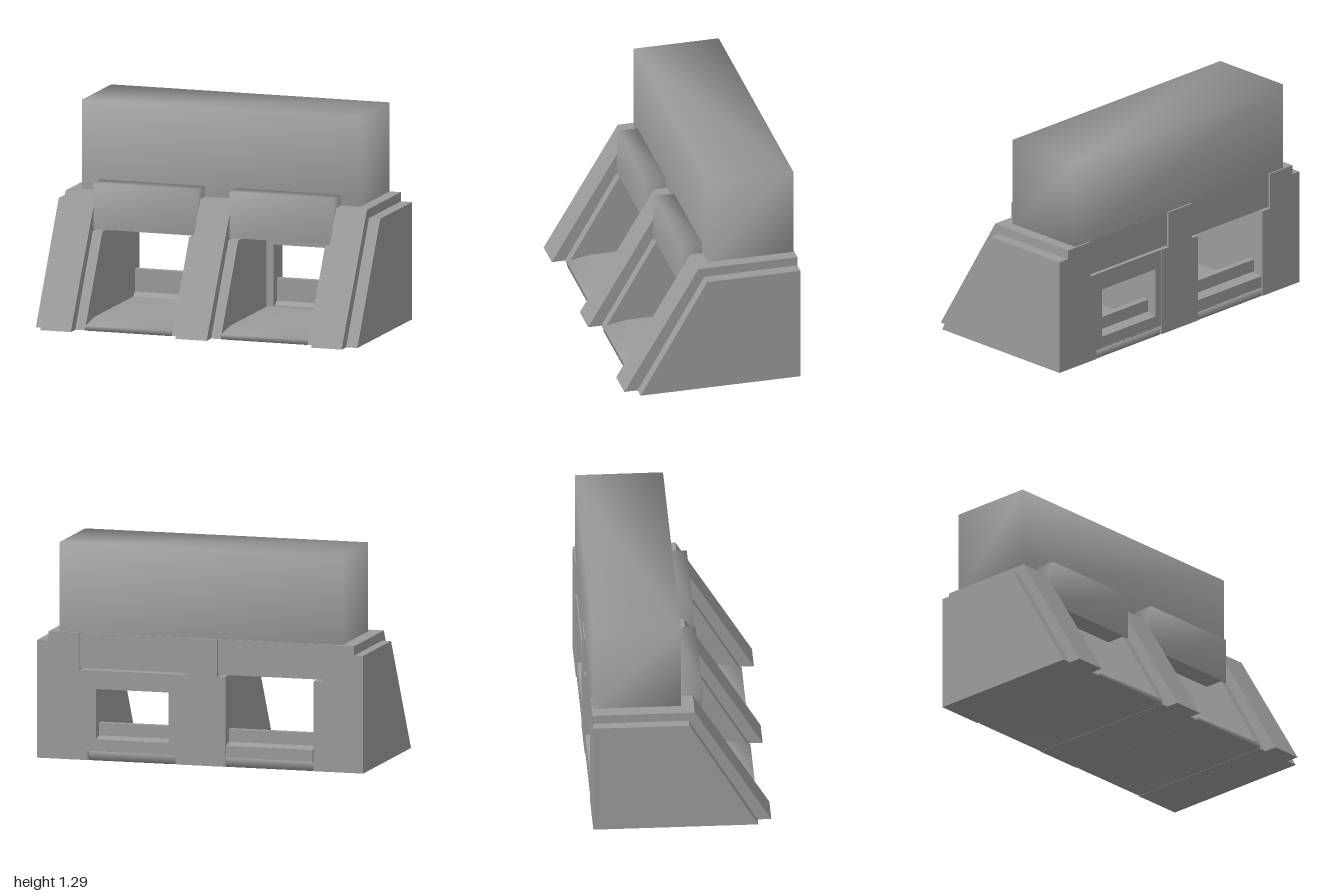
import * as THREE from 'three';
import { mergeVertices } from 'three/addons/utils/BufferGeometryUtils.js';

const grey = new THREE.MeshStandardMaterial({ color: 0x9b9b9b });

// Share corners so that shading runs smoothly over the block
function weld(geo) {
  geo.deleteAttribute('normal');
  geo.deleteAttribute('uv');
  const welded = mergeVertices(geo, 1e-4);
  welded.computeVertexNormals();
  return welded;
}

// Side profile given as [z, y] points, extruded from x0 to x1
function profileGeo(points, x0, x1) {
  const shape = new THREE.Shape(points.map(([z, y]) => new THREE.Vector2(z, y)));
  const geo = new THREE.ExtrudeGeometry(shape, { depth: x1 - x0, bevelEnabled: false });
  geo.rotateY(-Math.PI / 2);
  geo.translate(x1, 0, 0);
  return geo;
}

function boxGeo(x0, x1, y0, y1, z0, z1) {
  const geo = new THREE.BoxGeometry(x1 - x0, y1 - y0, z1 - z0);
  geo.translate((x0 + x1) / 2, (y0 + y1) / 2, (z0 + z1) / 2);
  return geo;
}

export function createModel() {
  const group = new THREE.Group();
  const add = (name, geo) => {
    const mesh = new THREE.Mesh(geo, grey);
    mesh.name = name;
    group.add(mesh);
  };

  // Softly shaded block with a flat underside
  const addSoftBlock = (name, x0, x1, y0, y1, z0, z1) => {
    const geo = boxGeo(x0, x1, y0, y1, z0, z1);
    const index = Array.from(geo.index.array);
    index.splice(18, 6); // the downward face
    geo.setIndex(index);
    add(name, weld(geo));
    const under = new THREE.PlaneGeometry(x1 - x0, z1 - z0);
    under.rotateX(Math.PI / 2);
    under.translate((x0 + x1) / 2, y0, (z0 + z1) / 2);
    add(name + 'Underside', under);
  };

  // Large block on top
  addSoftBlock('topBlock', -0.87, 0.863, 0.757, 1.288, -0.518, -0.002);

  // Three sloping piers
  const pier = [[-0.525, 0], [0.525, 0], [0.075, 0.755], [-0.525, 0.755]];
  for (const [x0, x1] of [[-0.945, -0.755], [-0.105, 0.09], [0.74, 0.93]]) {
    add('pier', profileGeo(pier, x0, x1));
  }

  // Outer side panels
  const side = [[-0.525, 0], [0.445, 0], [0.04, 0.7], [-0.525, 0.7]];
  add('sidePanel', profileGeo(side, -1, -0.945));
  add('sidePanel', profileGeo(side, 0.93, 1));

  // Lower panels lining both bays
  const lining = [[-0.525, 0], [0.445, 0], [0.135, 0.535], [-0.525, 0.535]];
  for (const [x0, x1] of [[-0.755, -0.695], [-0.155, -0.105], [0.09, 0.15], [0.69, 0.74]]) {
    add('bayLining', profileGeo(lining, x0, x1));
  }

  // Floor, stepped sill, header and rear beam of each bay
  const floor = [[-0.52, 0], [0.45, 0], [0.45, 0.03], [0.3, 0.055], [-0.52, 0.055]];
  const sill = [[-0.52, 0.05], [-0.38, 0.05], [-0.42, 0.08], [-0.42, 0.215],
    [-0.46, 0.215], [-0.46, 0.14], [-0.52, 0.125]];
  for (const [x0, x1] of [[-0.752, -0.106], [0.093, 0.739]]) {
    const f0 = x0 + 0.064, f1 = x1 - 0.052;
    add('bayFloor', weld(profileGeo(floor, f0, f1)));
    add('rearSill', profileGeo(sill, f0, f1));
    addSoftBlock('header', x0, x1, 0.545, 0.82, 0.005, 0.13);
    add('rearBeam', boxGeo(x0, x1, 0.545, 0.755, -0.515, -0.44));
  }

  // Window frame at the back of one bay
  const frame = new THREE.Shape([[0.15, 0.055], [0.69, 0.055], [0.69, 0.535], [0.15, 0.535]]
    .map(([x, y]) => new THREE.Vector2(x, y)));
  frame.holes.push(new THREE.Path([[0.195, 0.06], [0.195, 0.425], [0.64, 0.425], [0.64, 0.06]]
    .map(([x, y]) => new THREE.Vector2(x, y))));
  const frameGeo = new THREE.ExtrudeGeometry(frame, { depth: 0.16, bevelEnabled: false });
  frameGeo.translate(0, 0, -0.522);
  add('windowFrame', frameGeo);

  return group;
}
